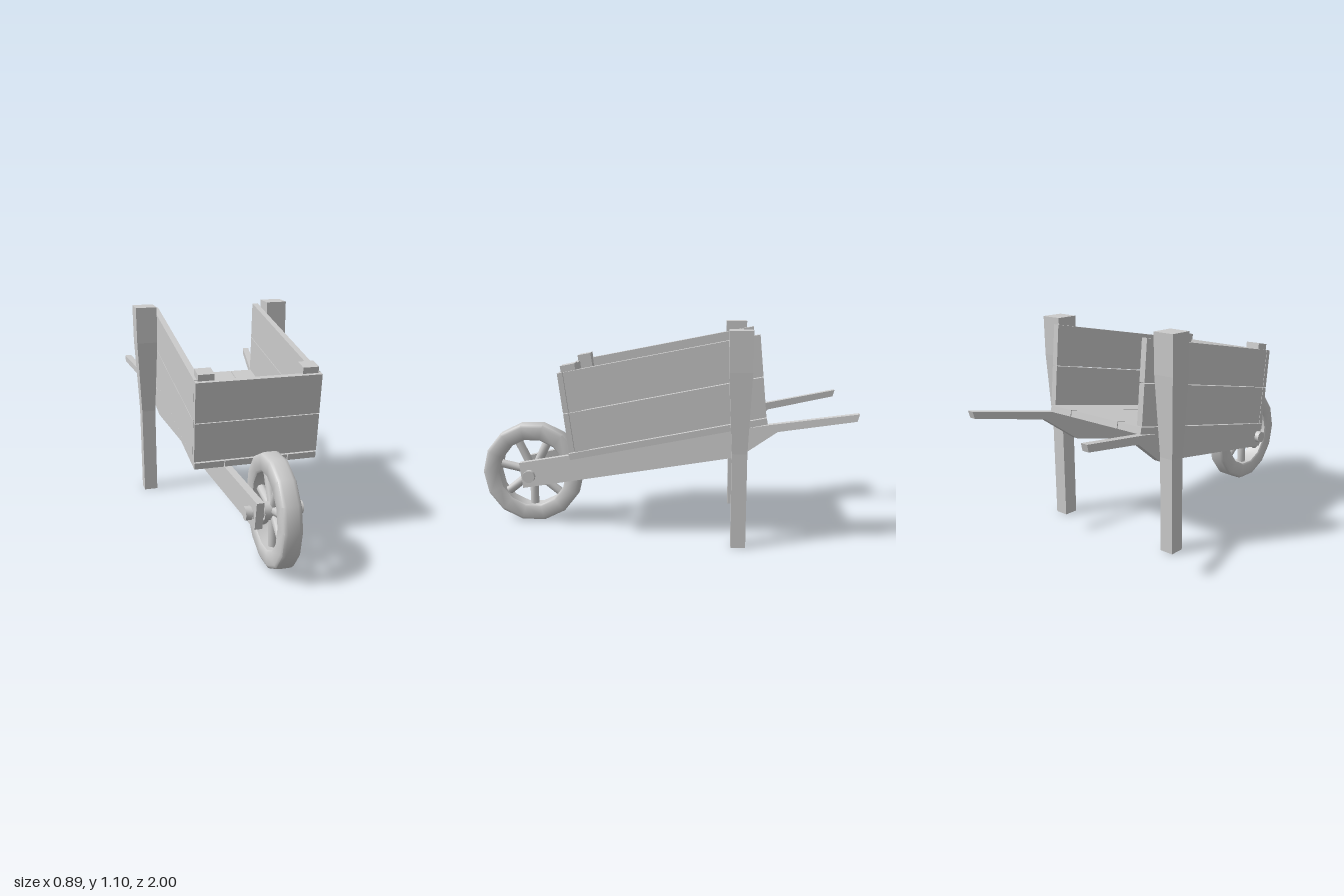
import * as THREE from 'three';
import { toCreasedNormals } from 'three/addons/utils/BufferGeometryUtils.js';

const material = new THREE.MeshStandardMaterial({ color: 0xcccccc });

function add(parent, name, geometry) {
  const mesh = new THREE.Mesh(geometry, material);
  mesh.name = name;
  parent.add(mesh);
  return mesh;
}

// Board with a side outline of [z, y] points, reaching from x0 to x1
function slab(outline, x0, x1) {
  const shape = new THREE.Shape(outline.map(([z, y]) => new THREE.Vector2(-z, y)));
  const g = new THREE.ExtrudeGeometry(shape, { depth: x1 - x0, bevelEnabled: false });
  return g.rotateY(Math.PI / 2).translate(x0, 0, 0);
}

// Slab mirrored to the given side (1 = left, -1 = right)
const sideSlab = (outline, side, a, b) =>
  side > 0 ? slab(outline, a, b) : slab(outline, -b, -a);

function createTray() {
  const tray = new THREE.Group();
  tray.name = 'tray';
  tray.position.set(0, 0.42, 0.455);
  tray.rotation.x = 0.195;

  // Floor planks
  const floor = [[0, 0], [0, 0.034], [-1.037, 0.034], [-1.037, 0]];
  for (const [a, b] of [[-0.32, -0.168], [-0.163, 0.163], [0.168, 0.32]])
    add(tray, 'floorPlank', slab(floor, a, b));

  // End and side planks in two rows; both ends lean back a little
  const front = (v) => -0.005 - 0.065 * (v - 0.04);
  const back = (v) => -1.036 - 0.1 * (v - 0.04);
  for (const [v0, v1] of [[0.039, 0.243], [0.247, 0.455]]) {
    add(tray, 'frontPlank', slab([[front(v0), v0], [front(v1), v1],
      [front(v1) - 0.028, v1], [front(v0) - 0.028, v0]], -0.322, 0.322));
    const outline = [[front(v0) - 0.031, v0], [front(v1) - 0.031, v1],
      [back(v1), v1], [back(v0), v0]];
    for (const side of [1, -1])
      add(tray, 'sidePlank', sideSlab(outline, side, 0.29, 0.322));
  }

  // Posts inside the front corners
  const post = [[-0.033, 0.034], [-0.052, 0.488], [-0.128, 0.488], [-0.105, 0.034]];
  for (const side of [1, -1])
    add(tray, 'cornerPost', sideSlab(post, side, 0.225, 0.307));
  return tray;
}

// Splayed shaft running from the axle back to the handle
function shaftGeometry(side) {
  const g = sideSlab([[0.78, 0.345], [0.76, 0.205], [-0.42, 0.45], [-0.61, 0.59],
    [-0.99, 0.66], [-1.0, 0.697], [-0.56, 0.622]], side, -0.019, 0.019);
  const p = g.attributes.position;
  for (let i = 0; i < p.count; i++)
    p.setX(i, p.getX(i) + side * (0.085 + (0.77 - p.getZ(i)) * 0.179));
  g.computeVertexNormals();
  return g;
}

// Square leg that widens towards the top
function legGeometry() {
  const levels = [[0, 0.075], [0.49, 0.077], [0.9, 0.115], [1.102, 0.118]];
  const g = new THREE.BoxGeometry(1, 3, 1, 1, 3, 1);
  const p = g.attributes.position;
  for (let i = 0; i < p.count; i++) {
    const [y, w] = levels[Math.round(p.getY(i) + 1.5)];
    p.setXYZ(i, p.getX(i) * w, y, p.getZ(i) * w);
  }
  return toCreasedNormals(g, 0.03);
}

function createWheel() {
  const wheel = new THREE.Group();
  wheel.name = 'wheel';
  wheel.position.set(0, 0.277, 0.72);

  // Rim with rounded edges
  const profile = [[0.19, -0.042], [0.2, -0.05], [0.262, -0.05], [0.277, -0.043],
    [0.282, -0.028], [0.282, 0.028], [0.277, 0.043], [0.262, 0.05],
    [0.2, 0.05], [0.19, 0.042], [0.19, -0.042]];
  const rim = new THREE.LatheGeometry(profile.map(([r, y]) => new THREE.Vector2(r, y)), 14);
  add(wheel, 'rim', toCreasedNormals(rim.rotateZ(Math.PI / 2), 0.85));

  // Seven spokes, one pointing straight down
  for (let i = 0; i < 7; i++) {
    const g = new THREE.CylinderGeometry(0.024, 0.024, 0.18, 8);
    g.translate(0, -0.115, 0).rotateX(i * Math.PI * 2 / 7);
    add(wheel, 'spoke', toCreasedNormals(g, 0.9));
  }

  // Hub, axle and axle ends
  const rod = (name, radius, length, x) => add(wheel, name, toCreasedNormals(
    new THREE.CylinderGeometry(radius, radius, length, 10).rotateZ(Math.PI / 2), 0.9)).position.setX(x);
  rod('hub', 0.045, 0.11, 0);
  rod('axle', 0.034, 0.22, 0);
  for (const side of [1, -1]) {
    rod('axleNeck', 0.027, 0.05, side * 0.105);
    rod('axleEnd', 0.034, 0.032, side * 0.129);
  }
  return wheel;
}

export function createModel() {
  const model = new THREE.Group();
  model.name = 'wheelbarrow';
  model.add(createTray(), createWheel());
  for (const side of [1, -1]) {
    add(model, side > 0 ? 'leftShaft' : 'rightShaft', shaftGeometry(side));
    add(model, side > 0 ? 'leftLeg' : 'rightLeg', legGeometry())
      .position.set(side * 0.388, 0, -0.418);
  }
  return model;
}
